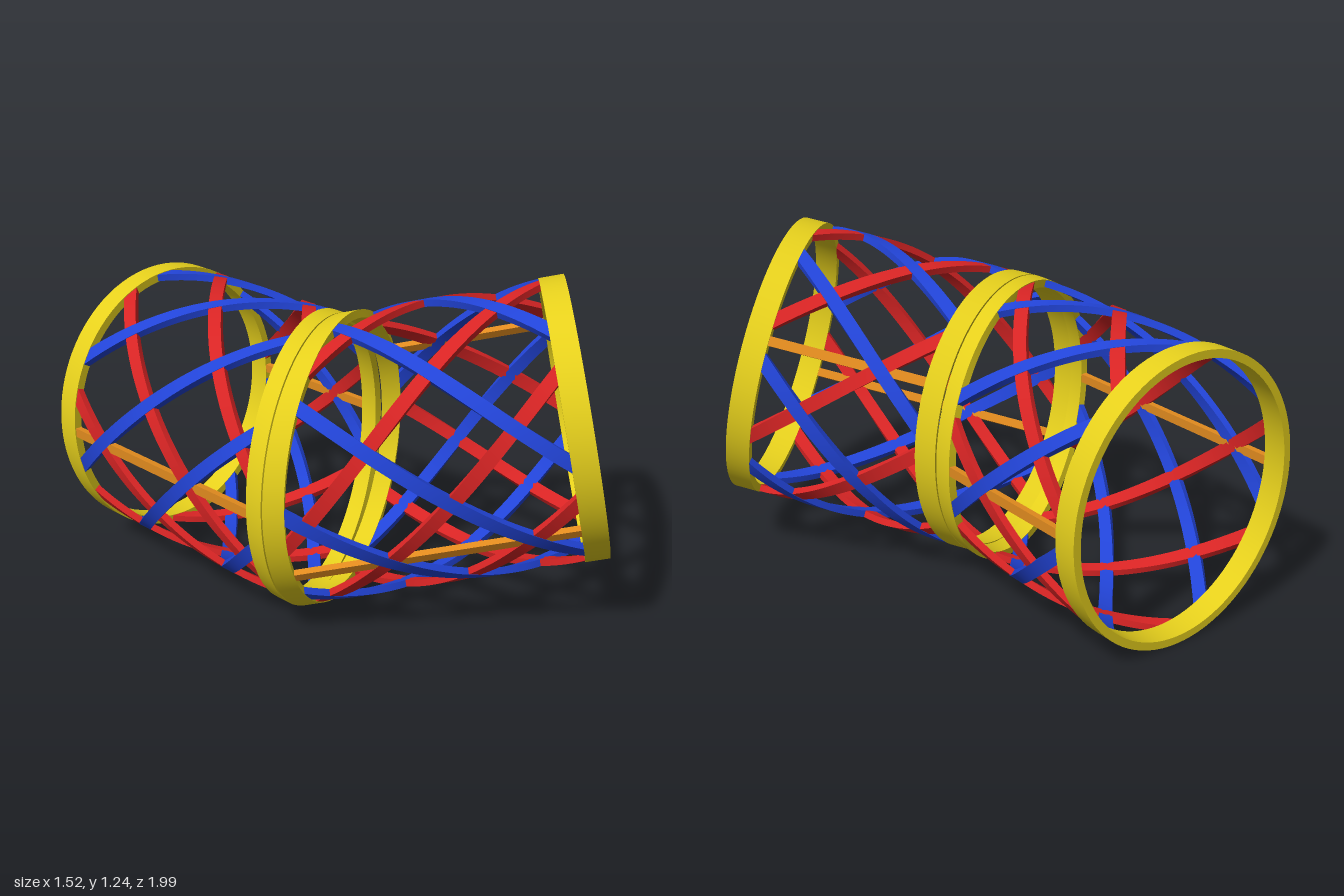
import * as THREE from 'three';
import { toCreasedNormals } from 'three/addons/utils/BufferGeometryUtils.js';

const TILT = Math.PI / 8;            // mitre angle of the joint
const TWIST = Math.PI / 6;           // turn of the front tube on the round joint
const R = 0.54;                      // radius of the round joint ring
const A = R * Math.cos(TILT);        // narrow half-width of the oval tube
const L = 0.955;                     // length of a tube along its axis
const N = 7;                         // helical straps per direction
const SLOPE = Math.PI / N / 0.25;    // turn per unit length

const mat = (color) => new THREE.MeshStandardMaterial({ color, side: THREE.DoubleSide });
const radius = (t) => 1 / Math.hypot(Math.cos(t) / A, Math.sin(t) / R);
// Mitre plane height above the open end, at angle t
const mitre = (t) => L - 0.003 - radius(t) * Math.cos(t) * Math.tan(TILT);

// Point on the oval tube, set in from its surface by depth
function point(t, w, depth) {
  const r = radius(t) - depth;
  return [r * Math.cos(t), r * Math.sin(t), w];
}

// Solid bar through rows of four corners
function sweep(rows, closed) {
  const index = [];
  const n = rows.length;
  for (let i = 0; i < (closed ? n : n - 1); i++) {
    const a = i * 4, b = ((i + 1) % n) * 4;
    for (let k = 0; k < 4; k++) {
      const m = (k + 1) % 4;
      index.push(a + k, b + k, b + m, a + k, b + m, a + m);
    }
  }
  if (!closed) {
    const e = (n - 1) * 4;
    index.push(0, 1, 2, 0, 2, 3, e, e + 2, e + 1, e, e + 3, e + 2);
  }
  const g = new THREE.BufferGeometry();
  g.setAttribute('position', new THREE.Float32BufferAttribute(rows.flat(2), 3));
  g.setIndex(index);
  return toCreasedNormals(g, 0.6);
}

// Ring band between two heights that may vary around the tube
function ring(low, high) {
  const rows = [];
  for (let i = 0; i < 96; i++) {
    const t = (i / 96) * Math.PI * 2;
    rows.push([point(t, low(t), 0), point(t, high(t), 0),
      point(t, high(t), 0.03), point(t, low(t), 0.03)]);
  }
  return sweep(rows, true);
}

// Strap that winds round the tube and is trimmed by the end and the mitre
function strap(start, slope, width, inset) {
  const rows = [];
  for (let i = 0; i <= 64; i++) {
    const w = -0.04 + i * 0.02;
    const t = start + slope * w;
    const r = radius(t);
    const len = Math.hypot(slope * r, 1);
    const dt = (-1 / len) * (width / 2) / r;
    const dw = ((slope * r) / len) * (width / 2);
    const t0 = t - dt, t1 = t + dt;
    const top0 = mitre(t0) - 0.01, top1 = mitre(t1) - 0.01;
    if (w - dw > top0 + 0.02 && w + dw > top1 + 0.02) break;
    if (w - dw < -0.02 && w + dw < -0.02) continue;
    const w0 = THREE.MathUtils.clamp(w - dw, 0.01, top0);
    const w1 = THREE.MathUtils.clamp(w + dw, 0.01, top1);
    rows.push([point(t0, w0, inset), point(t1, w1, inset),
      point(t1, w1, 0.028), point(t0, w0, 0.028)]);
  }
  return sweep(rows, false);
}

// One lattice tube; hand swaps the winding of the two colours
function latticeTube(hand, m) {
  const tube = new THREE.Group();
  const add = (name, geometry, material) => {
    const mesh = new THREE.Mesh(geometry, material);
    mesh.name = name;
    tube.add(mesh);
  };
  add('endRing', ring(() => 0, () => 0.09), m.yellow);
  add('jointRing', ring((t) => mitre(t) - 0.075, mitre), m.yellow);
  for (let i = 0; i < N; i++) {
    const t = (i / N) * Math.PI * 2;
    add('blueStrap', strap(t, -hand * SLOPE, 0.05, 0.002), m.blue);
    add('redStrap', strap(t, hand * SLOPE, 0.05, 0.003), m.red);
  }
  // straight bars on the short and long sides
  for (const t of [0, Math.PI]) add('straightBar', strap(t, 0, 0.036, 0.004), m.orange);
  return tube;
}

export function createModel() {
  const m = { yellow: mat(0xe6d01c), blue: mat(0x2244d8), red: mat(0xd82424), orange: mat(0xe08a1e) };
  const model = new THREE.Group();
  model.name = 'latticeElbow';

  const rear = latticeTube(1, m);
  rear.name = 'rearTube';
  rear.position.set(-0.256, R, -1);

  // Front tube: mirrored across the mitre, then turned about its normal
  const s = Math.sin(TILT), c = Math.cos(TILT);
  const normal = new THREE.Vector3(s, 0, c);
  const bend = new THREE.Vector3(c, 0, -s).applyAxisAngle(normal, 0)
    .multiplyScalar(Math.cos(TWIST)).add(new THREE.Vector3(0, Math.sin(TWIST), 0));
  const axis = normal.clone().multiplyScalar(c).addScaledVector(bend, s);
  const u = bend.clone().multiplyScalar(c).addScaledVector(normal, -s);
  const inward = axis.clone().negate();
  const v = inward.clone().cross(u);

  const front = latticeTube(-1, m);
  front.name = 'frontTube';
  front.quaternion.setFromRotationMatrix(new THREE.Matrix4().makeBasis(u, v, inward));
  front.position.set(-0.256, R, -1 + L).addScaledVector(axis, L);

  model.add(rear, front);
  return model;
}
